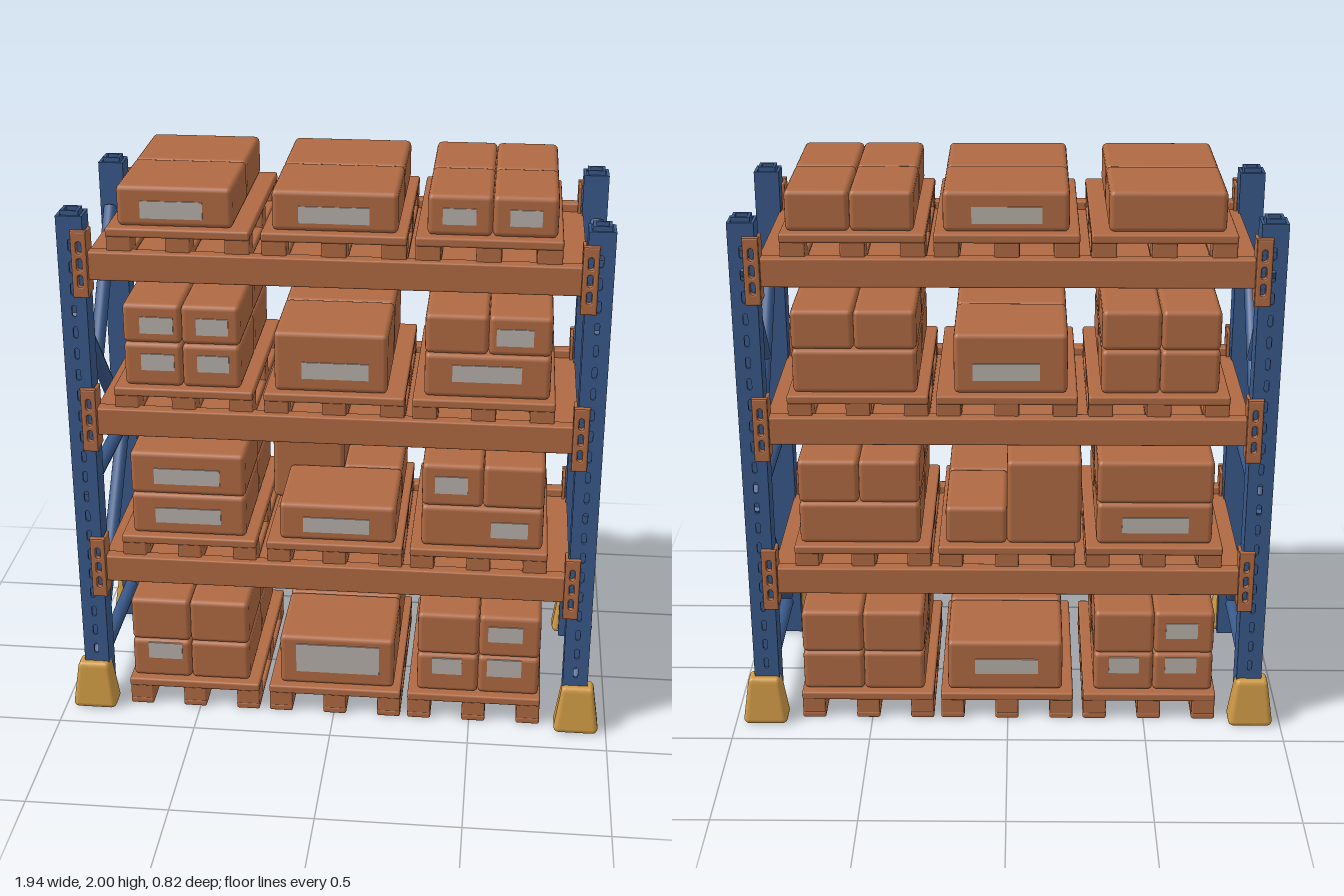
import * as THREE from 'three';
import { RoundedBoxGeometry } from 'three/addons/geometries/RoundedBoxGeometry.js';

const mat = (name, color) => {
  const m = new THREE.MeshStandardMaterial({ color });
  m.name = name;
  return m;
};

export function createModel() {
  const brown = mat('cardboardBrown', 0xb06a43);
  const blue = mat('uprightBlue', 0x39598a);
  const yellow = mat('guardYellow', 0xcf9a45);
  const paper = mat('labelGrey', 0xb9b1ab);
  const model = new THREE.Group();
  model.name = 'palletRack';

  const group = (name, parent = model) => {
    const g = new THREE.Group();
    g.name = name;
    parent.add(g);
    return g;
  };
  const add = (parent, name, geo, m) => {
    const mesh = new THREE.Mesh(geo, m);
    mesh.name = name;
    parent.add(mesh);
    return mesh;
  };
  // Box given by its limits; r rounds the edges
  const block = (parent, name, m, x0, x1, y0, y1, z0, z1, r = 0) => {
    const s = [x1 - x0, y1 - y0, z1 - z0];
    const geo = r ? new RoundedBoxGeometry(...s, 2, r) : new THREE.BoxGeometry(...s);
    const mesh = add(parent, name, geo, m);
    mesh.position.set((x0 + x1) / 2, (y0 + y1) / 2, (z0 + z1) / 2);
    return mesh;
  };
  // Upright plate with a column of rounded slots, facing +z
  const slottedPlate = (w, y0, y1, step, sw, sh, depth, bevel = 0) => {
    const s = new THREE.Shape();
    s.moveTo(-w / 2, y0).lineTo(w / 2, y0).lineTo(w / 2, y1).lineTo(-w / 2, y1);
    for (let y = y0 + step; y < y1 - step / 2; y += step) {
      const hole = new THREE.Path();
      hole.absarc(0, y + sh / 2 - sw / 2, sw / 2, 0, Math.PI);
      hole.absarc(0, y - sh / 2 + sw / 2, sw / 2, Math.PI, Math.PI * 2);
      s.holes.push(hole);
    }
    return new THREE.ExtrudeGeometry(s, {
      depth, curveSegments: 4, bevelEnabled: bevel > 0,
      bevelSize: bevel, bevelThickness: bevel, bevelOffset: -bevel, bevelSegments: 2,
    });
  };

  // Uprights: hollow slotted posts with tapered foot guards
  const postPlate = slottedPlate(0.09, 0.005, 1.9, 0.078, 0.016, 0.042, 0.01);
  const footGeo = new RoundedBoxGeometry(0.16, 0.185, 0.1, 3, 0.02);
  const fp = footGeo.attributes.position;
  for (let i = 0; i < fp.count; i++) {
    const t = THREE.MathUtils.smoothstep(fp.getY(i) + 0.0925, 0.03, 0.185);
    fp.setX(i, fp.getX(i) * (1 - 0.27 * t));
    fp.setZ(i, fp.getZ(i) * (1 - 0.3 * t));
  }
  footGeo.computeVertexNormals();
  for (const sx of [-1, 1]) {
    for (const sz of [-1, 1]) {
      const post = group('upright');
      post.position.set(sx * 0.88, 0, sz * 0.325);
      const face = add(post, 'slottedFace', postPlate, blue);
      face.position.z = sz * 0.04 - 0.005;
      const side = add(post, 'slottedSide', postPlate, blue);
      side.rotation.y = Math.PI / 2;
      side.position.x = sx * 0.04 - 0.005;
      block(post, 'innerSide', blue, -sx * 0.04 - 0.005, -sx * 0.04 + 0.005, 0.005, 1.9, -0.045, 0.045);
      block(post, 'rearSide', blue, -0.045, 0.045, 0.005, 1.9, -sz * 0.04 - 0.005, -sz * 0.04 + 0.005);
      // Raised rim at the top of the post
      for (const s of [-1, 1]) {
        block(post, 'topRim', blue, s * 0.026 - 0.005, s * 0.026 + 0.005, 1.8, 1.915, -0.03, 0.03);
        block(post, 'topRim', blue, -0.03, 0.03, 1.8, 1.915, s * 0.026 - 0.005, s * 0.026 + 0.005);
      }
      const foot = add(model, 'footGuard', footGeo, yellow);
      foot.position.set(sx * 0.89, 0.0925, sz * 0.36);
    }
    // Side frame braces as [z, y] pairs
    const braces = [
      [0.3, 0.138, -0.3, 0.138], [0.3, 0.86, -0.3, 0.86],
      [0.29, 0.17, -0.29, 0.84], [-0.29, 0.88, 0.29, 1.53], [0.05, 1.28, -0.29, 1.73],
    ];
    for (const [za, ya, zb, yb] of braces) {
      const d = new THREE.Vector3(0, yb - ya, zb - za);
      const bar = add(model, 'brace', new THREE.CylinderGeometry(0.026, 0.026, d.length(), 12), blue);
      bar.position.set(sx * 0.89, (ya + yb) / 2, (za + zb) / 2);
      bar.quaternion.setFromUnitVectors(new THREE.Vector3(0, 1, 0), d.normalize());
    }
  }

  // Shelves: two beams, a deck and slotted end connectors
  const connectorGeo = slottedPlate(0.055, 0, 0.235, 0.059, 0.016, 0.04, 0.012, 0.006);
  for (const top of [0.63, 1.21, 1.78]) {
    const shelf = group('shelf');
    block(shelf, 'deck', brown, -0.84, 0.84, top - 0.065, top - 0.03, -0.35, 0.35);
    for (const sz of [-1, 1]) {
      block(shelf, 'beam', brown, -0.84, 0.84, top - 0.1, top, sz * 0.353 - 0.025, sz * 0.353 + 0.025, 0.006);
      for (const sx of [-1, 1]) {
        const c = add(shelf, 'connector', connectorGeo, brown);
        c.position.set(sx * 0.847, top - 0.16, sz * 0.38 - 0.006);
        block(shelf, 'connectorReturn', brown, sx * 0.826 - 0.006, sx * 0.826 + 0.006,
          top - 0.155, top + 0.07, sz * 0.345 - 0.035, sz * 0.345 + 0.035, 0.005);
      }
    }
  }

  // Pallets: three runners with blocks under a deck
  const pallet = (cx, y) => {
    const p = group('pallet');
    p.position.set(cx, y, 0);
    block(p, 'palletDeck', brown, -0.243, 0.243, 0.078, 0.11, -0.36, 0.36, 0.008);
    for (const x of [-0.2, 0, 0.2]) {
      block(p, 'runner', brown, x - 0.043, x + 0.043, 0, 0.026, -0.355, 0.355, 0.008);
      for (const z of [-0.31, 0, 0.31])
        block(p, 'palletBlock', brown, x - 0.042, x + 0.042, 0.015, 0.085, z - 0.043, z + 0.043, 0.006);
    }
  };
  const D = 0.335;
  // Cartons: rows of [top, columns], two deep
  const stack = (x0, x1, y, rows) => {
    const g = group('cartonStack');
    for (const [top, cols] of rows) {
      const w = (x1 - x0) / cols;
      for (let c = 0; c < cols; c++)
        for (const z of [-D, 0])
          block(g, 'carton', brown, x0 + c * w, x0 + (c + 1) * w, y, top, z, z + D, 0.018);
      y = top;
    }
  };
  const label = (x0, x1, y0, y1, s = 1) =>
    block(model, 'label', paper, x0, x1, y0, y1, s * D - 0.004, s * D + 0.004);
  const sideLabel = (x, y0, y1, z0, z1) =>
    block(model, 'sideLabel', paper, x - 0.004, x + 0.004, y0, y1, z0, z1);

  for (const y of [0, 0.6, 1.175, 1.75])
    for (const x of [-0.52, 0.003, 0.515]) pallet(x, y);

  // Ground level
  stack(-0.75, -0.315, 0.11, [[0.265, 2], [0.435, 2]]);
  stack(-0.2, 0.22, 0.11, [[0.31, 1]]);
  stack(0.305, 0.75, 0.11, [[0.265, 2], [0.432, 2]]);
  label(-0.69, -0.565, 0.19, 0.255);
  label(-0.14, 0.165, 0.165, 0.28);
  label(0.36, 0.468, 0.185, 0.25);
  label(0.56, 0.685, 0.185, 0.255);
  label(0.56, 0.685, 0.33, 0.392);
  label(-0.11, 0.12, 0.18, 0.24, -1);
  label(-0.69, -0.575, 0.185, 0.25, -1);
  label(-0.48, -0.37, 0.185, 0.25, -1);
  label(-0.69, -0.575, 0.33, 0.392, -1);

  // First shelf, with one tall carton behind a low one
  stack(-0.725, -0.315, 0.71, [[0.868, 1], [1.03, 1]]);
  const mixed = group('mixedCartons');
  block(mixed, 'lowCarton', brown, -0.195, 0.22, 0.71, 0.853, 0, D, 0.018);
  block(mixed, 'tallCarton', brown, -0.26, 0.003, 0.71, 1.03, -D, 0, 0.018);
  block(mixed, 'lowCarton', brown, 0.003, 0.22, 0.71, 0.853, -D, 0, 0.018);
  stack(0.31, 0.738, 0.71, [[0.868, 1], [1.03, 2]]);
  label(-0.64, -0.405, 0.91, 0.97);
  label(-0.64, -0.405, 0.757, 0.815);
  label(-0.11, 0.125, 0.745, 0.803);
  label(0.355, 0.47, 0.92, 0.985);
  label(0.555, 0.685, 0.755, 0.815);
  label(-0.64, -0.405, 0.757, 0.815, -1);

  // Second shelf
  stack(-0.725, -0.32, 1.285, [[1.443, 2], [1.585, 2]]);
  stack(-0.205, 0.185, 1.285, [[1.502, 1]]);
  stack(0.31, 0.738, 1.285, [[1.443, 1], [1.585, 2]]);
  for (const y of [1.345, 1.48]) {
    label(-0.665, -0.55, y, y + 0.06);
    label(-0.47, -0.36, y, y + 0.06);
  }
  label(0.55, 0.675, 1.48, 1.54);
  label(0.405, 0.64, 1.345, 1.405);
  for (const s of [-1, 1]) label(-0.11, 0.12, 1.335, 1.395, s);

  // Top shelf
  stack(-0.725, -0.335, 1.86, [[2, 1]]);
  stack(-0.205, 0.215, 1.86, [[2, 1]]);
  stack(0.31, 0.738, 1.86, [[2, 2]]);
  label(-0.645, -0.435, 1.89, 1.95);
  for (const s of [-1, 1]) label(-0.115, 0.12, 1.89, 1.947, s);
  label(0.36, 0.47, 1.9, 1.955);
  label(0.58, 0.685, 1.9, 1.955);
  sideLabel(0.738, 1.88, 1.937, -0.24, 0.16);
  sideLabel(-0.725, 1.89, 1.947, -0.22, 0.05);

  return model;
}
